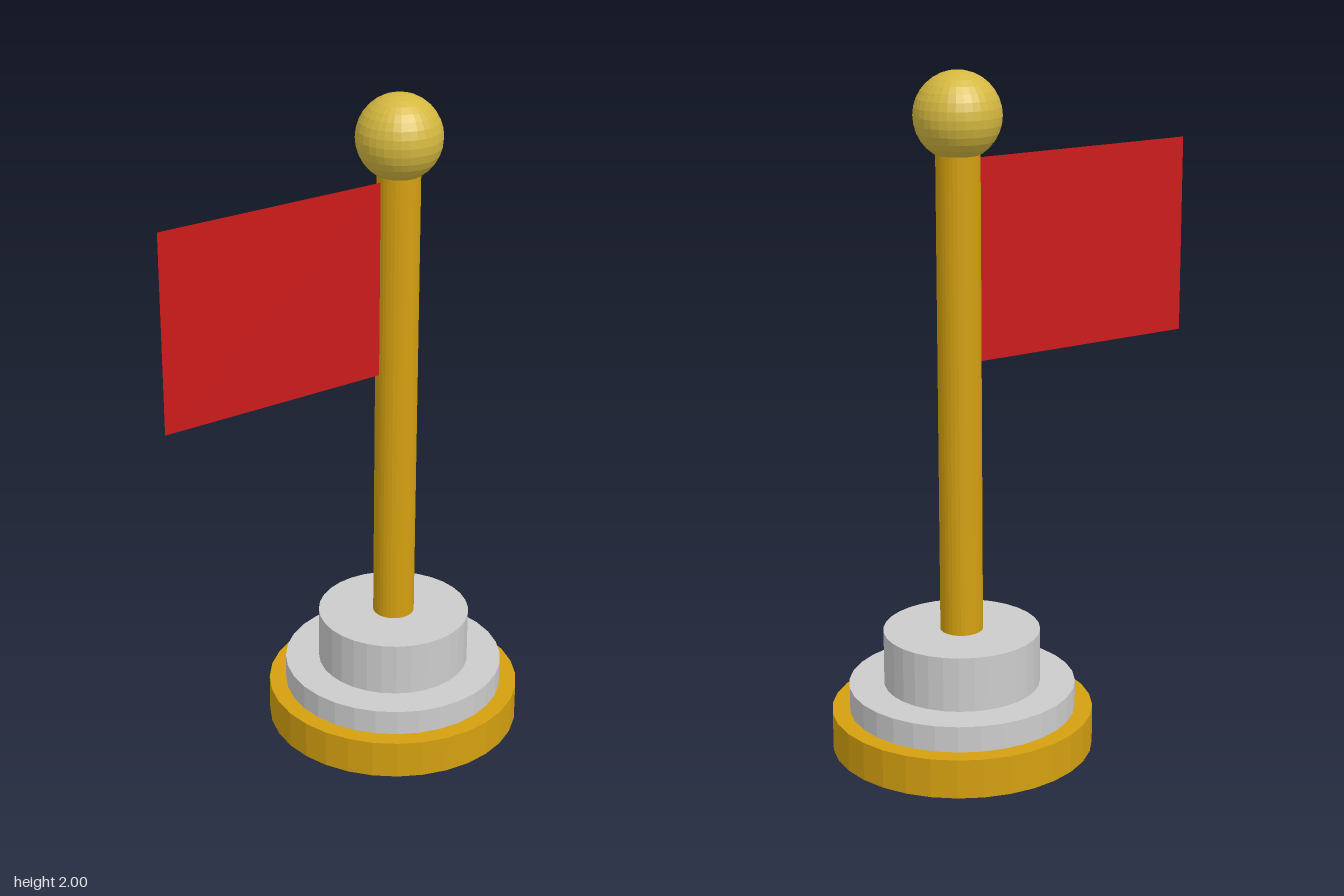
import * as THREE from 'three';

const POLE_X = 0.198;

function material(color, extra = {}) {
  return new THREE.MeshStandardMaterial({ color, flatShading: true, ...extra });
}

export function createModel() {
  const group = new THREE.Group();
  const gold = material(0xd4a010);
  const paleGold = material(0xd4b840);
  const grey = material(0xcccccc);
  const red = material(0xcc1a1a, { side: THREE.DoubleSide });

  function add(name, geometry, mat, x, y) {
    const mesh = new THREE.Mesh(geometry, mat);
    mesh.name = name;
    mesh.position.set(x, y, 0);
    group.add(mesh);
  }

  // Upright round part between two heights
  function disc(name, radius, y0, y1, mat) {
    const geometry = new THREE.CylinderGeometry(radius, radius, y1 - y0, 32);
    add(name, geometry, mat, POLE_X, (y0 + y1) / 2);
  }

  // Stepped base: gold rim with a grey underside, then two grey tiers
  disc('baseRim', 0.388, 0, 0.117, [gold, gold, grey]);
  disc('lowerTier', 0.336, 0.117, 0.195, grey);
  disc('upperTier', 0.232, 0.195, 0.36, grey);

  // Pole and ball finial
  disc('pole', 0.063, 0.36, 1.78, gold);
  add('finial', new THREE.SphereGeometry(0.125, 32, 16), paleGold, POLE_X, 1.875);

  // Flat flag reaching from the pole's surface
  const left = -0.588, right = 0.14, bottom = 1.165, top = 1.753;
  add('flag', new THREE.PlaneGeometry(right - left, top - bottom), red,
    (left + right) / 2, (bottom + top) / 2);

  return group;
}
